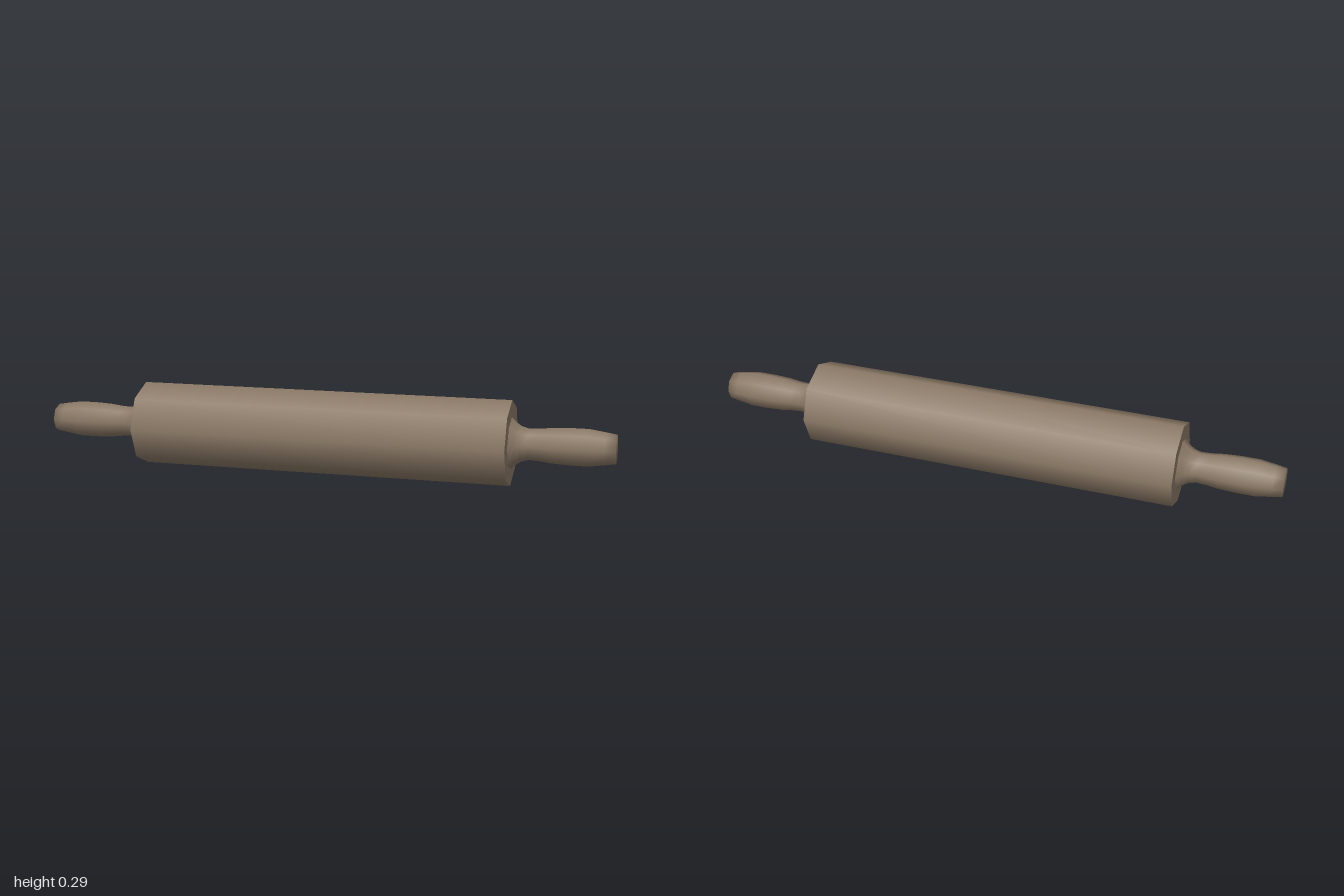
import * as THREE from 'three';

const SIDES = 8;
const RADIUS = 0.146;
const HALF_LENGTH = 0.655;

// Handle profile as [radius, distance from the middle], flared root to closed tip
const HANDLE = [
  [0.089, HALF_LENGTH], [0.072, 0.672], [0.06, 0.69], [0.053, 0.715], [0.055, 0.75],
  [0.06, 0.79], [0.063, 0.85], [0.063, 0.91], [0.055, 0.965], [0.049, 1], [0, 1],
];

export function createModel() {
  const wood = new THREE.MeshStandardMaterial({ color: 0x8a7865 });
  wood.name = 'wood';
  const model = new THREE.Group();
  model.name = 'rollingPin';

  // Eight-sided barrel with smooth sides and flat ends, lying along x
  const barrelShape = new THREE.CylinderGeometry(RADIUS, RADIUS, HALF_LENGTH * 2, SIDES);
  barrelShape.rotateZ(-Math.PI / 2);
  const barrel = new THREE.Mesh(barrelShape, wood);
  barrel.name = 'barrel';
  barrel.position.y = RADIUS;
  model.add(barrel);

  // Turned handles, one at each end
  const points = HANDLE.map(([r, d]) => new THREE.Vector2(r, d));
  const handleShape = new THREE.LatheGeometry(points, SIDES);
  handleShape.rotateZ(-Math.PI / 2);
  for (const [name, turn] of [['leftHandle', 0], ['rightHandle', Math.PI]]) {
    const handle = new THREE.Mesh(handleShape, wood);
    handle.name = name;
    handle.position.y = RADIUS;
    handle.rotation.y = turn;
    model.add(handle);
  }
  return model;
}
